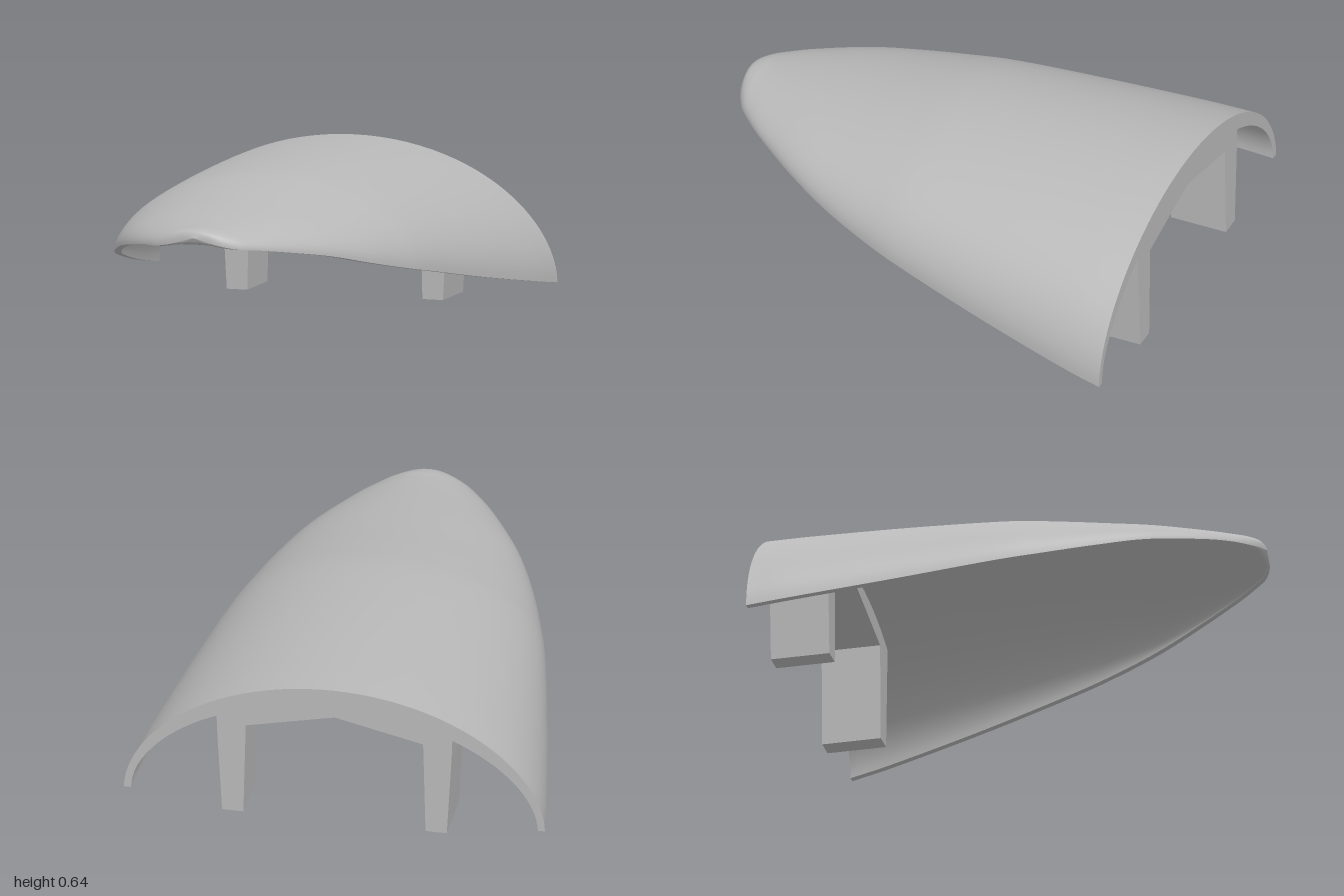
import * as THREE from 'three';
import { mergeGeometries } from 'three/addons/utils/BufferGeometryUtils.js';

// Stations from the open back to the nose: z, half width, rim height, crown height, crown thickness
const stations = [
  [-1, 0.89, 0.06, 0.635, 0.085],
  [-0.8, 0.86, 0.092, 0.638, 0.085],
  [-0.4, 0.78, 0.162, 0.638, 0.085],
  [0, 0.69, 0.24, 0.626, 0.085],
  [0.2, 0.63, 0.28, 0.605, 0.08],
  [0.4, 0.555, 0.325, 0.578, 0.08],
  [0.6, 0.455, 0.375, 0.554, 0.075],
  [0.8, 0.32, 0.413, 0.531, 0.075],
  [0.9, 0.235, 0.43, 0.522, 0.072],
  [0.95, 0.18, 0.437, 0.52, 0.07],
  [0.985, 0.105, 0.453, 0.511, 0.053],
  [1, 0, 0.483, 0.483, 0],
];
const spline = (a, b) => new THREE.CatmullRomCurve3(
  stations.map((s) => new THREE.Vector3(s[0], s[a], s[b])), false, 'catmullrom');
const rimLine = spline(1, 2);
const crownLine = spline(3, 4);

// Point on the outer (inner = 0) or inner (inner = 1) skin; u runs across, v runs back to nose
function skin(u, v, inner) {
  const r = rimLine.getPoint(v);
  const c = crownLine.getPoint(v);
  const a = (u - 0.5) * Math.PI;
  const width = r.y - inner * Math.min(0.03, r.y * 0.5);
  const rise = Math.max(c.y - inner * c.z - r.z, 0);
  const y = r.z + rise * Math.pow(Math.max(Math.cos(a), 0), 1.08);
  return new THREE.Vector3(width * Math.sin(a), y, r.x);
}

// Smooth grid surface from a point rule
function surface(rule, nu, nv, flip) {
  const pos = [];
  const index = [];
  for (let j = 0; j <= nv; j++) {
    for (let i = 0; i <= nu; i++) pos.push(...rule(i / nu, j / nv).toArray());
  }
  for (let j = 0; j < nv; j++) {
    for (let i = 0; i < nu; i++) {
      const a = j * (nu + 1) + i, b = a + 1, c = a + nu + 1, d = c + 1;
      if (flip) index.push(a, b, c, b, d, c);
      else index.push(a, c, b, b, c, d);
    }
  }
  const g = new THREE.BufferGeometry();
  g.setAttribute('position', new THREE.Float32BufferAttribute(pos, 3));
  g.setIndex(index);
  g.computeVertexNormals();
  return g;
}

export function createModel() {
  const group = new THREE.Group();
  const grey = new THREE.MeshStandardMaterial({ color: 0xb8b8b8 });
  grey.name = 'grey';
  const add = (name, geometry) => {
    const mesh = new THREE.Mesh(geometry, grey);
    mesh.name = name;
    group.add(mesh);
  };

  // Arched shell
  add('outerShell', surface((u, v) => skin(u, v, 0), 48, 66, false));
  add('innerShell', surface((u, v) => skin(u, v, 1), 48, 66, true));

  // Lower rim on both sides and the flat back edge
  add('lowerRim', mergeGeometries([
    surface((u, v) => skin(0, v, u), 1, 66, true),
    surface((u, v) => skin(1, v, 1 - u), 1, 66, true),
  ]));
  add('backEdge', surface((u, v) => skin(u, 0, 1 - v), 48, 1, false));

  // Two legs joined by a bridge under the crown
  const half = [
    [0.385, 0], [0.475, 0], [0.495, 0.36], [0.5, 0.49], [0.25, 0.58],
  ];
  const outline = [
    [0, 0.505], [0.375, 0.42], ...half, [0, 0.61],
    ...half.map(([x, y]) => [-x, y]).reverse(), [-0.375, 0.42],
  ];
  const shape = new THREE.Shape(outline.map(([x, y]) => new THREE.Vector2(x, y)));
  const frame = new THREE.ExtrudeGeometry(shape, { depth: 0.25, bevelEnabled: false });
  frame.translate(0, 0, -1);
  add('legsAndBridge', frame);

  return group;
}
